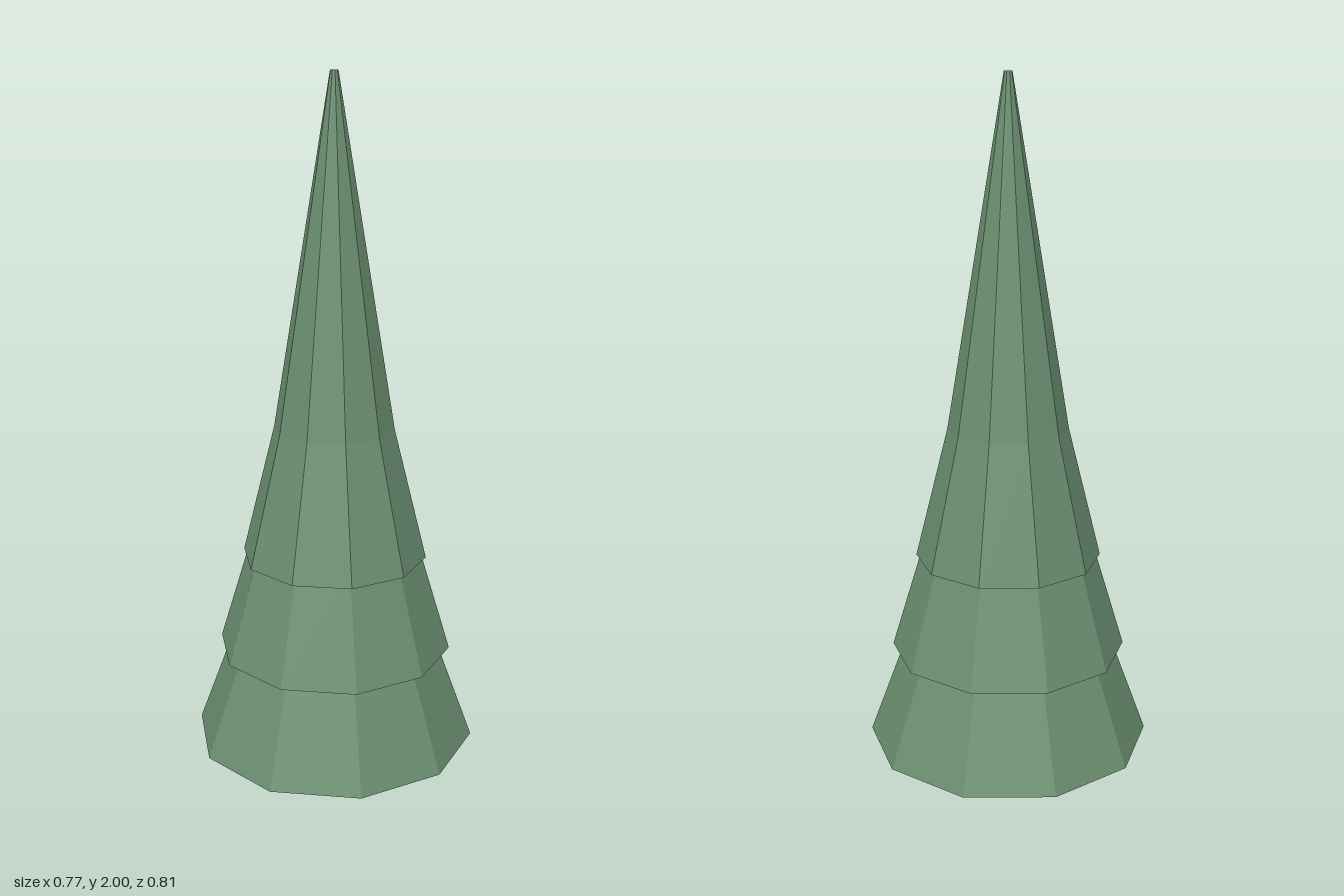
import * as THREE from 'three';

const SIDES = 10;

export function createModel() {
  const tree = new THREE.Group();
  tree.name = 'pineTree';

  const needles = new THREE.MeshStandardMaterial({ color: 0x6b8f71 });
  needles.name = 'needle green';
  const bark = new THREE.MeshStandardMaterial({ color: 0x7a5a40 });
  bark.name = 'bark brown';

  // Ten-sided tapered section with faceted normals, from height y0 up to y1
  function section(name, material, r0, y0, r1, y1, open = false) {
    const geometry = new THREE.CylinderGeometry(r1, r0, y1 - y0, SIDES, 1, open).toNonIndexed();
    geometry.computeVertexNormals();
    const mesh = new THREE.Mesh(geometry, material);
    mesh.name = name;
    mesh.position.y = (y0 + y1) / 2;
    tree.add(mesh);
  }

  // Trunk, running up into the lowest tier
  section('trunk', bark, 0.06, 0, 0.06, 0.2);

  // Overlapping skirts of foliage
  section('lowerTier', needles, 0.403, 0.128, 0.288, 0.44);
  section('middleTier', needles, 0.333, 0.402, 0.237, 0.72);
  section('upperTier', needles, 0.261, 0.677, 0.168, 1.05);

  // Slender crown with a blunt tip
  section('crown', needles, 0.168, 1.05, 0.011, 2);

  return tree;
}
